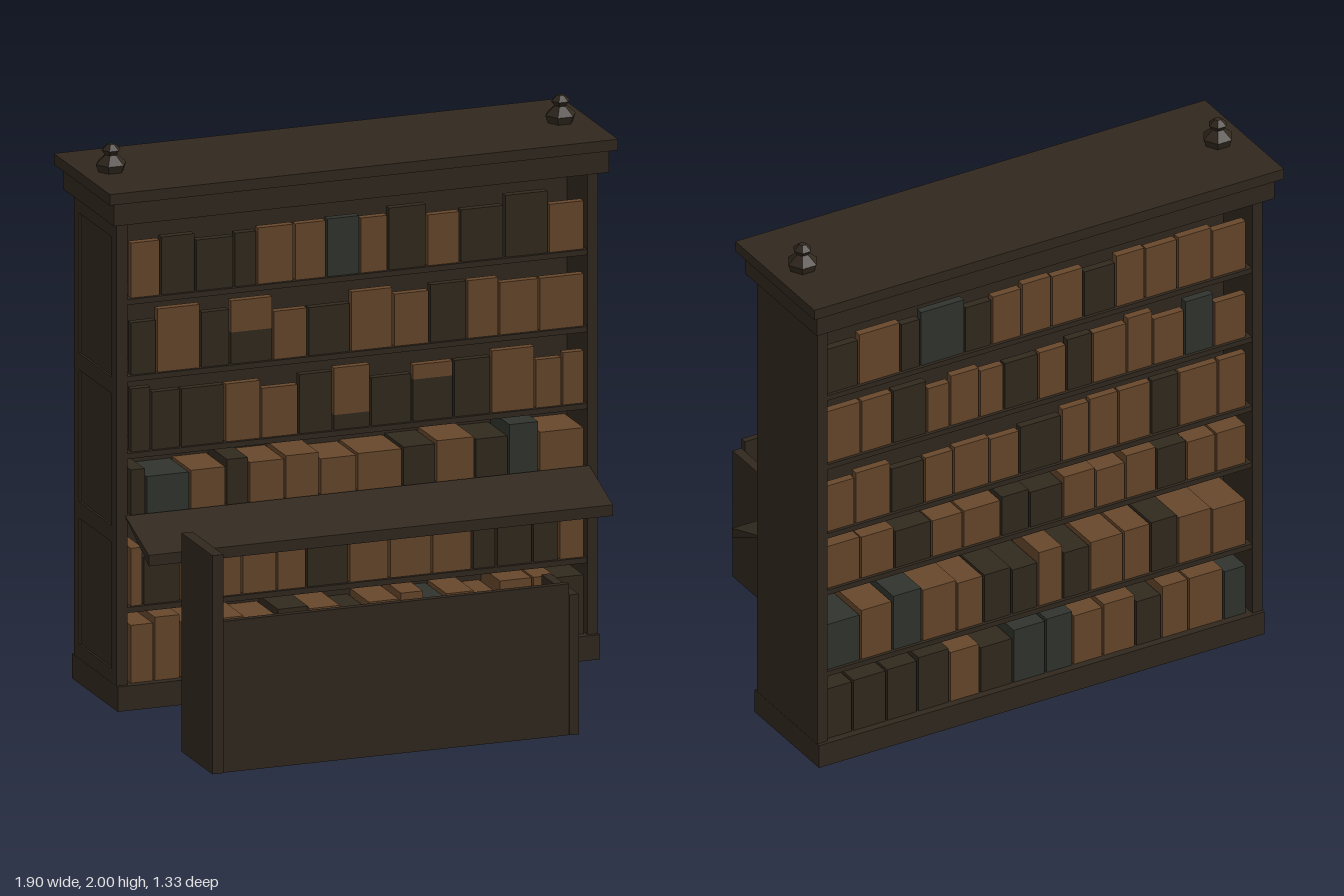
import * as THREE from 'three';

const mat = (name, color) => Object.assign(new THREE.MeshStandardMaterial({ color }), { name });

export function createModel() {
  const model = new THREE.Group();
  model.name = 'doubleSidedBookcase';
  const wood = mat('dark wood', 0x31281e);
  const brown = mat('brown leather', 0x67472b);
  const dark = mat('dark leather', 0x31291e);
  const green = mat('grey green cloth', 0x31342e);
  const covers = { b: brown, d: dark, g: green };

  // Box given by its limits on each axis
  function box(name, x0, x1, y0, y1, z0, z1, material = wood, parent = model) {
    const m = new THREE.Mesh(new THREE.BoxGeometry(x1 - x0, y1 - y0, z1 - z0), material);
    m.position.set((x0 + x1) / 2, (y0 + y1) / 2, (z0 + z1) / 2);
    m.name = name;
    parent.add(m);
  }
  function group(name) {
    const g = new THREE.Group();
    g.name = name;
    model.add(g);
    return g;
  }

  // Bookcase carcass: sides, centre back, shelves
  const carcass = group('carcass');
  box('rightSide', -0.892, -0.86, 0, 1.79, -0.6, -0.185, wood, carcass);
  box('leftSide', 0.86, 0.9, 0, 1.79, -0.6, -0.185, wood, carcass);
  box('centreBack', -0.86, 0.86, 0.08, 1.79, -0.4, -0.385, wood, carcass);
  const bases = [0.09, 0.37, 0.7, 0.93, 1.21, 1.49];
  for (const y of bases.slice(1)) box('shelf', -0.86, 0.86, y - 0.02, y, -0.597, -0.188, wood, carcass);

  // Raised frame around the three panels of one side
  for (const [z0, z1] of [[-0.6, -0.55], [-0.235, -0.185]])
    box('sideStile', -0.9, -0.892, 0, 1.79, z0, z1, wood, carcass);
  for (const [y0, y1] of [[0, 0.14], [0.6, 0.66], [1.14, 1.2], [1.71, 1.79]])
    box('sideRail', -0.9, -0.892, y0, y1, -0.55, -0.235, wood, carcass);

  // Plinth
  box('plinth', -0.901, 0.901, 0, 0.09, -0.613, -0.17);

  // Two-step cornice
  box('corniceFrieze', -0.925, 0.925, 1.775, 1.86, -0.64, -0.145);
  box('corniceTop', -0.95, 0.95, 1.86, 1.9, -0.665, -0.12);

  // Six-sided finials
  const profile = [[0, 0], [0.047, 0], [0.057, 0.028], [0.022, 0.06],
    [0.035, 0.078], [0.013, 0.098], [0, 0.1]].map(([r, y]) => new THREE.Vector2(r, y));
  const finialGeo = new THREE.LatheGeometry(profile, 6).rotateY(Math.PI / 2).toNonIndexed();
  finialGeo.computeVertexNormals();
  for (const s of [-1, 1]) {
    const finial = new THREE.Mesh(finialGeo, wood);
    finial.name = 'finial';
    finial.position.set(s * 0.84, 1.9, -0.395);
    model.add(finial);
  }

  // A row of books; H, Q and T are a brown book on a dark one, split at that share
  const split = { H: 0.5, Q: 0.24, T: 0.74 };
  function bookRow(name, row, side, edges, heights, kinds) {
    const g = group(name), y = bases[row];
    // Upper rows hold shallow books, lower rows deep ones
    const depth = row > 2 ? 0.03 : 0.185;
    const front = side > 0 ? -0.2 : -0.585;
    const [z0, z1] = side > 0 ? [front - depth, front] : [front, front + depth];
    [...kinds].forEach((k, i) => {
      const x0 = edges[i] + 0.009, x1 = edges[i + 1] + 0.001, h = heights[i];
      if (split[k]) {
        const mid = y + h * split[k];
        box('lowerBook', x0, x1, y, mid, z0, z1, dark, g);
        box('upperBook', x0, x1, mid, y + h, z0, z1, brown, g);
      } else box('book', x0, x1, y, y + h, z0, z1, covers[k], g);
    });
  }

  // Front books, top row to bottom row
  bookRow('frontBooks', 5, 1,
    [-0.85, -0.735, -0.605, -0.46, -0.375, -0.235, -0.115, 0.01, 0.115, 0.26, 0.385, 0.55, 0.715, 0.85],
    [0.2, 0.21, 0.185, 0.195, 0.205, 0.205, 0.21, 0.2, 0.225, 0.185, 0.19, 0.225, 0.175], 'bdddbbgbdbddb');
  bookRow('frontBooks', 4, 1,
    [-0.85, -0.75, -0.585, -0.475, -0.315, -0.185, -0.025, 0.135, 0.27, 0.41, 0.53, 0.68, 0.85],
    [0.19, 0.23, 0.2, 0.23, 0.175, 0.175, 0.215, 0.19, 0.21, 0.21, 0.19, 0.19], 'dbdHbdbbdbbb');
  bookRow('frontBooks', 3, 1,
    [-0.85, -0.77, -0.66, -0.495, -0.36, -0.22, -0.09, 0.05, 0.205, 0.36, 0.5, 0.665, 0.765, 0.85],
    [0.23, 0.21, 0.21, 0.21, 0.18, 0.215, 0.225, 0.175, 0.205, 0.205, 0.225, 0.175, 0.19], 'dddbbdQdTdbbb');
  bookRow('frontBooks', 2, 1,
    [-0.85, -0.79, -0.625, -0.49, -0.405, -0.27, -0.14, 0, 0.17, 0.295, 0.44, 0.565, 0.68, 0.85],
    [0.165, 0.135, 0.14, 0.165, 0.145, 0.155, 0.13, 0.135, 0.14, 0.15, 0.14, 0.18, 0.14], 'dgbdbbbbdbdgb');
  bookRow('frontBooks', 1, 1,
    [-0.85, -0.8, -0.66, -0.56, -0.43, -0.3, -0.19, -0.03, 0.12, 0.28, 0.43, 0.52, 0.655, 0.755, 0.85],
    [0.21, 0.17, 0.21, 0.185, 0.19, 0.185, 0.17, 0.215, 0.19, 0.205, 0.17, 0.205, 0.21, 0.215], 'bdbbbbdbbbdddb');
  bookRow('frontBooks', 0, 1,
    [-0.85, -0.76, -0.66, -0.55, -0.42, -0.3, -0.18, -0.06, 0.04, 0.16, 0.25, 0.33, 0.44, 0.53, 0.655, 0.74, 0.85],
    [0.21, 0.23, 0.2, 0.2, 0.19, 0.21, 0.2, 0.18, 0.2, 0.22, 0.19, 0.2, 0.18, 0.225, 0.225, 0.215], 'bbbbbdbdbbgbbbbd');

  // Back books, top row, from the -x end
  bookRow('backBooks', 5, -1,
    [-0.85, -0.71, -0.57, -0.44, -0.32, -0.19, -0.06, 0.06, 0.18, 0.29, 0.47, 0.55, 0.72, 0.85],
    [0.19, 0.205, 0.2, 0.205, 0.18, 0.2, 0.205, 0.19, 0.18, 0.215, 0.19, 0.2, 0.18], 'bbbbdbbbdgdbd');

  // Other back books, bottom row first, from the -x end
  let seed = 7;
  const rnd = () => (seed = (seed * 16807) % 2147483647) / 2147483647;
  ['gbbdbbggdbdddd', 'bbdbbdbddbbgbg', 'bbdbbbddbbdbb', 'bbdbbbdbbbdbb', 'bgbbbdbdbbbdbb']
    .forEach((kinds, row) => {
      const widths = [...kinds].map(() => 0.8 + 0.45 * rnd());
      const total = widths.reduce((a, b) => a + b, 0);
      const edges = [-0.85];
      for (const w of widths) edges.push(edges[edges.length - 1] + (1.7 * w) / total);
      const low = row === 2 ? 0.13 : 0.175;
      bookRow('backBooks', row, -1, edges, widths.map(() => low + 0.045 * rnd()), kinds);
    });

  // Sloping wedge-shaped reading ledge
  const wedge = new THREE.Shape([[-0.185, 0.705], [-0.17, 0.695], [0.045, 0.585], [0.045, 0.625]]
    .map(([z, y]) => new THREE.Vector2(z, y)));
  const ledge = new THREE.Mesh(
    new THREE.ExtrudeGeometry(wedge, { depth: 1.735, bevelEnabled: false })
      .rotateY(-Math.PI / 2).translate(0.867, 0, 0), wood);
  ledge.name = 'readingLedge';
  model.add(ledge);

  // Free-standing counter: front panel, unequal ends and an inner shelf
  const counter = group('counter');
  box('tallEnd', -0.87, -0.828, 0, 0.795, 0.365, 0.667, wood, counter);
  box('shortEnd', 0.465, 0.5, 0, 0.51, 0.392, 0.665, wood, counter);
  box('frontPanel', -0.828, 0.465, 0, 0.55, 0.638, 0.662, wood, counter);
  box('innerShelf', -0.828, 0.465, 0.32, 0.35, 0.395, 0.638, wood, counter);

  return model;
}
